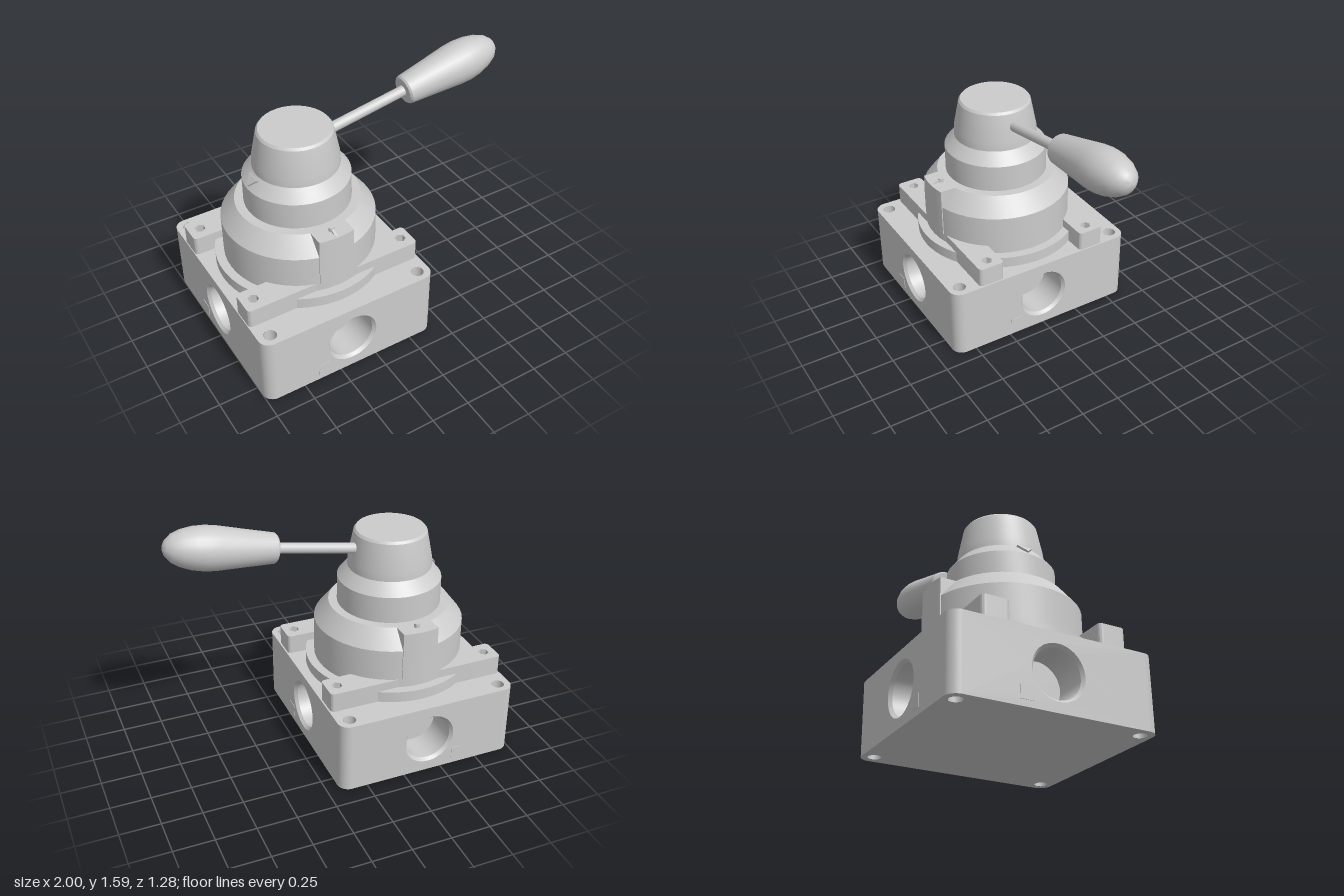
import * as THREE from 'three';
import { toCreasedNormals } from 'three/addons/utils/BufferGeometryUtils.js';

const CX = -0.415;            // axis of the valve body
const HX = 0.585, HZ = 0.635; // half sizes of the base block
const BASE = 0.46, CORNER = 0.07;

const mat = new THREE.MeshStandardMaterial({ color: 0xcccccc });
const matDouble = new THREE.MeshStandardMaterial({ color: 0xcccccc, side: THREE.DoubleSide });

function add(parent, name, geometry, x = 0, y = 0, z = 0, material = mat) {
  const mesh = new THREE.Mesh(geometry, material);
  mesh.name = name;
  mesh.position.set(x, y, z);
  parent.add(mesh);
  return mesh;
}

function lathe(points, segments) {
  const g = new THREE.LatheGeometry(points.map(([r, y]) => new THREE.Vector2(r, y)), segments);
  return toCreasedNormals(g, 0.4);
}

function roundedRect(x0, y0, x1, y1, r) {
  const s = new THREE.Shape();
  s.moveTo(x0 + r, y0);
  s.absarc(x1 - r, y0 + r, r, -Math.PI / 2, 0);
  s.absarc(x1 - r, y1 - r, r, 0, Math.PI / 2);
  s.absarc(x0 + r, y1 - r, r, Math.PI / 2, Math.PI);
  s.absarc(x0 + r, y0 + r, r, Math.PI, Math.PI * 1.5);
  return s;
}

function circleHole(x, y, r) {
  return new THREE.Path().absarc(x, y, r, 0, Math.PI * 2, true);
}

function hexHole(x, y, r) {
  const pts = [];
  for (let i = 0; i < 6; i++) {
    const a = Math.PI / 6 - i * Math.PI / 3;
    pts.push(new THREE.Vector2(x + r * Math.cos(a), y + r * Math.sin(a)));
  }
  return new THREE.Path(pts);
}

// Extrudes a plan outline upwards
function extrudeUp(shape, height) {
  const g = new THREE.ExtrudeGeometry(shape, { depth: height, bevelEnabled: false, curveSegments: 12 });
  return toCreasedNormals(g.rotateX(-Math.PI / 2), 0.5);
}

function buildBase() {
  const base = new THREE.Group();
  base.name = 'baseBlock';
  const bolts = [];
  for (const sx of [-1, 1]) for (const sz of [-1, 1]) bolts.push([sx * 0.505, sz * 0.56, sx, sz]);

  // Top and bottom faces with bolt holes
  const plan = roundedRect(-HX, -HZ, HX, HZ, CORNER);
  for (const [x, z] of bolts) plan.holes.push(circleHole(x, z, 0.04));
  add(base, 'baseTop', new THREE.ShapeGeometry(plan, 16).rotateX(-Math.PI / 2), 0, BASE);
  add(base, 'baseBottom', new THREE.ShapeGeometry(plan, 16).rotateX(Math.PI / 2));

  // Rounded corners and bolt hole walls
  for (const [x, z, sx, sz] of bolts) {
    const start = Math.atan2(sx, sz) - Math.PI / 4;
    add(base, 'baseCorner',
      new THREE.CylinderGeometry(CORNER, CORNER, BASE, 8, 1, true, start, Math.PI / 2),
      sx * (HX - CORNER), BASE / 2, sz * (HZ - CORNER));
    add(base, 'boltHole', new THREE.CylinderGeometry(0.04, 0.04, BASE, 24, 1, true),
      x, BASE / 2, z, matDouble);
  }

  // Four walls, each with a chamfered port and a blank label plate
  const portProfile = [[0.165, 0], [0.148, -0.02], [0.148, -0.22], [0, -0.22]];
  for (let i = 0; i < 4; i++) {
    const side = new THREE.Group();
    side.name = ['frontWall', 'leftWall', 'backWall', 'rightWall'][i];
    side.rotation.y = i * Math.PI / 2;
    const w = (i % 2 ? HZ : HX) - CORNER, d = i % 2 ? HX : HZ;
    const wall = new THREE.Shape([[-w, 0], [w, 0], [w, BASE], [-w, BASE]].map(p => new THREE.Vector2(...p)));
    wall.holes.push(circleHole(0, 0.228, 0.165));
    add(side, 'wallPanel', new THREE.ShapeGeometry(wall, 24), 0, 0, d);
    add(side, 'port', lathe(portProfile, 48).rotateX(Math.PI / 2), 0, 0.228, d, matDouble);
    add(side, 'labelPlate', new THREE.BoxGeometry(0.078, 0.078, 0.006), i === 2 ? 0.2 : -0.2, 0.078, d);
    base.add(side);
  }
  return base;
}

function buildBody() {
  const body = new THREE.Group();
  body.name = 'valveBody';

  // Round lip and the two mounting bars with hex sockets
  add(body, 'lip', new THREE.CylinderGeometry(0.525, 0.525, 0.07, 64), 0, BASE + 0.035);
  for (const s of [-1, 1]) {
    const bar = roundedRect(-0.58, -0.085, 0.575, 0.085, 0.025);
    bar.holes.push(hexHole(-0.505, 0, 0.034), hexHole(0.505, 0, 0.034));
    add(body, 'mountingBar', extrudeUp(bar, 0.125), 0, BASE, s * 0.365);
  }

  // Stepped housing
  add(body, 'housing', lathe([
    [0.47, BASE], [0.47, 0.785], [0.38, 0.9], [0.325, 0.9],
    [0.325, 1.07], [0.262, 1.145], [0, 1.145],
  ], 48));

  // Turning cap
  add(body, 'cap', lathe([
    [0.262, 1.14], [0.26, 1.2], [0.226, 1.372], [0.214, 1.387], [0, 1.387],
  ], 48));

  // Stop blocks with pins at front and back
  const a = Math.acos(0.115 / 0.475);
  const block = new THREE.Shape();
  block.moveTo(-0.115, 0.31);
  block.lineTo(0.115, 0.31);
  block.absarc(0, 0, 0.475, a, Math.PI - a);
  for (const turn of [0, Math.PI]) {
    const stop = new THREE.Group();
    stop.name = turn ? 'frontStop' : 'backStop';
    stop.rotation.y = turn;
    add(stop, 'stopBlock', extrudeUp(block, 0.315), 0, 0.585);
    add(stop, 'stopPin', new THREE.CylinderGeometry(0.017, 0.017, 0.025, 16), 0, 0.9125, -0.4);
    body.add(stop);
  }

  // Small pointer ridge on the front stop
  const ridge = new THREE.Shape([[-0.46, 0], [-0.4, 0], [-0.4, 0.024]].map(p => new THREE.Vector2(...p)));
  const ridgeGeo = new THREE.ExtrudeGeometry(ridge, { depth: 0.016, bevelEnabled: false });
  add(body, 'pointerRidge', ridgeGeo.translate(0, 0, -0.008).rotateY(Math.PI / 2), 0, 0.9, 0);

  // Position pointer lying on the upper cone
  const arrow = new THREE.Shape([[-0.05, 0.03], [0.05, 0.03], [0, -0.035]].map(p => new THREE.Vector2(...p)));
  const arrowGeo = new THREE.ExtrudeGeometry(arrow, { depth: 0.012, bevelEnabled: false });
  arrowGeo.rotateX(-Math.atan2(0.063, 0.075));
  add(body, 'positionPointer', arrowGeo.rotateY(-Math.PI / 2), -0.292, 1.108, 0);
  return body;
}

function buildLever() {
  const lever = new THREE.Group();
  lever.name = 'lever';
  // Local y runs along the lever, origin at the inner end of the grip
  lever.position.set(0.328, 1.38, 0);
  lever.rotation.z = -Math.PI / 2 + THREE.MathUtils.degToRad(10.3);
  add(lever, 'rod', new THREE.CylinderGeometry(0.033, 0.033, 0.6, 20), 0, -0.28, 0);
  add(lever, 'grip', lathe([
    [0, 0], [0.082, 0], [0.092, 0.012], [0.112, 0.2], [0.13, 0.36], [0.133, 0.43], [0.126, 0.5],
    [0.108, 0.57], [0.082, 0.625], [0.048, 0.66], [0.02, 0.673], [0, 0.676],
  ], 24));
  return lever;
}

export function createModel() {
  const model = new THREE.Group();
  model.name = 'handLeverValve';
  const base = buildBase(), body = buildBody();
  base.position.x = body.position.x = CX;
  model.add(base, body, buildLever());
  return model;
}
